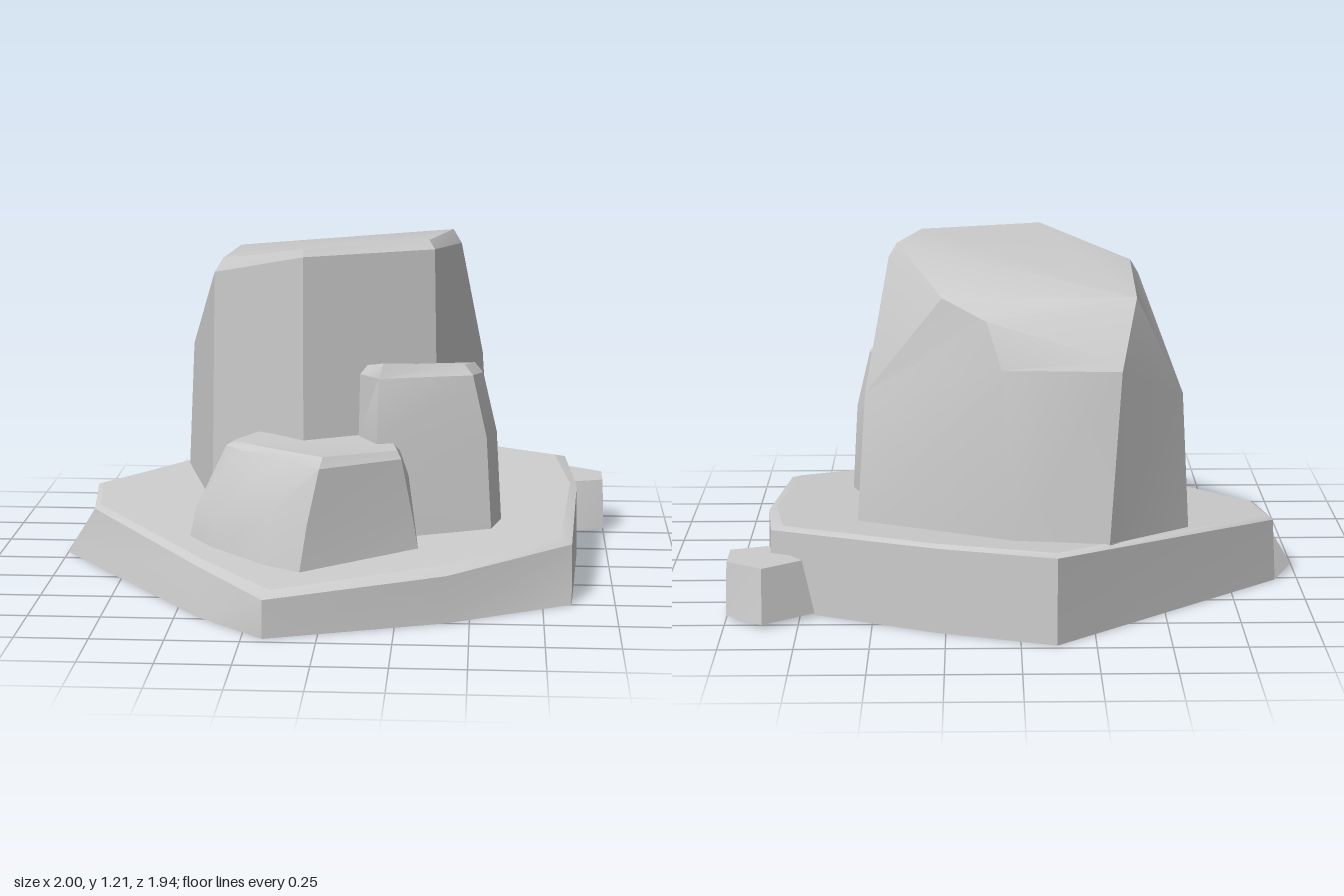
import * as THREE from 'three';
import { toCreasedNormals } from 'three/addons/utils/BufferGeometryUtils.js';

const material = new THREE.MeshStandardMaterial({ color: 0xcccccc, side: THREE.DoubleSide });

function part(name, geometry) {
  const mesh = new THREE.Mesh(geometry, material);
  mesh.name = name;
  return mesh;
}

// Skin stacked rings of [x, z, y] corners (counter-clockwise from above) into an open-bottomed shell.
function shell(name, rings, capped = true) {
  const pos = [];
  const tri = (...corners) => corners.forEach(([x, z, y]) => pos.push(x, y, z));
  const n = rings[0].length;
  for (let r = 0; r + 1 < rings.length; r++) {
    const lo = rings[r], up = rings[r + 1];
    for (let i = 0; i < n; i++) {
      const j = (i + 1) % n;
      tri(lo[i], lo[j], up[j]);
      tri(lo[i], up[j], up[i]);
    }
  }
  const top = rings[rings.length - 1];
  for (let i = 1; capped && i + 1 < n; i++) tri(top[0], top[i], top[i + 1]);
  const geo = new THREE.BufferGeometry();
  geo.setAttribute('position', new THREE.Float32BufferAttribute(pos, 3));
  return part(name, toCreasedNormals(geo, 0.45));
}

// Give a flat outline one height, or the tilt of the slab (low in front, high behind).
const level = (y, outline) => outline.map(([x, z]) => [x, z, y]);
const slabHeight = (x, z) => 0.228 - 0.085 * z + 0.02 * x;
const tilt = (drop, outline) => outline.map(([x, z]) => [x, z, slabHeight(x, z) - drop]);

// Tilted slab surface, open where the rocks stand
function slabTop(rim, opening) {
  const points = (outline) => outline.map(([x, z]) => new THREE.Vector2(x, -z));
  const shape = new THREE.Shape(points(rim));
  shape.holes.push(new THREE.Path(points(opening)));
  const geo = new THREE.ShapeGeometry(shape).rotateX(-Math.PI / 2);
  const p = geo.attributes.position;
  for (let i = 0; i < p.count; i++) p.setY(i, slabHeight(p.getX(i), p.getZ(i)));
  geo.computeVertexNormals();
  return part('slabTop', geo);
}

export function createModel() {
  const group = new THREE.Group();
  group.name = 'rockFormation';

  // Wide slab, hollow underneath, with a narrow bevel around its rim
  const rim = [[-0.86, 0.02], [-0.41, 0.61], [-0.16, 0.9], [0.4, 0.67], [0.81, 0.41],
    [0.86, -0.2], [0.81, -0.55], [0.28, -0.81], [-0.12, -0.93], [-0.89, -0.23]];
  const slab = new THREE.Group();
  slab.name = 'baseSlab';
  slab.add(
    shell('slabWall', [
      level(0, [[-1, -0.08], [-0.42, 0.73], [-0.18, 0.965], [0.42, 0.75], [0.85, 0.5],
        [0.89, -0.21], [0.86, -0.57], [0.28, -0.84], [-0.12, -0.975], [-0.92, -0.27]]),
      tilt(0.012, [[-0.88, 0.03], [-0.43, 0.64], [-0.18, 0.96], [0.42, 0.74], [0.85, 0.43],
        [0.885, -0.21], [0.85, -0.57], [0.28, -0.835], [-0.12, -0.965], [-0.91, -0.26]]),
      tilt(0, rim),
    ], false),
    slabTop(rim, [[-0.3, -0.78], [-0.59, -0.47], [-0.45, 0], [-0.3, 0.14], [-0.49, 0.36],
      [-0.4, 0.48], [-0.2, 0.66], [-0.075, 0.735], [0.32, 0.5], [0.3, 0.37], [0.57, 0.3],
      [0.605, 0.19], [0.53, -0.07], [0.48, -0.12], [0.56, -0.44], [0.02, -0.745]]),
  );
  group.add(slab);

  // Tall main rock with a sloping back shoulder
  group.add(shell('mainRock', [
    tilt(0.01, [[-0.59, -0.47], [-0.45, 0], [-0.09, 0.335], [0.38, 0.14],
      [0.48, -0.14], [0.56, -0.44], [0.02, -0.745], [-0.3, -0.78]]),
    [[-0.565, -0.45, 0.73], [-0.435, -0.01, 1.07], [-0.09, 0.325, 1.175], [0.36, 0.135, 1.18],
      [0.45, -0.18, 1.16], [0.53, -0.39, 0.72], [0.06, -0.71, 0.87], [-0.34, -0.74, 0.87]],
    [[-0.395, -0.58, 1.09], [-0.405, -0.02, 1.12], [-0.09, 0.305, 1.2], [0.34, 0.11, 1.21],
      [0.42, -0.18, 1.21], [0.26, -0.53, 1.08], [0.11, -0.64, 1.02], [-0.33, -0.72, 0.9]],
  ]));

  // Medium rock leaning on the main rock's left side
  group.add(shell('sideRock', [
    tilt(0.01, [[0.1, 0.27], [0.17, 0.41], [0.57, 0.3], [0.605, 0.19],
      [0.53, -0.07], [0.45, -0.12], [0.25, 0]]),
    level(0.54, [[0.1, 0.26], [0.17, 0.395], [0.55, 0.29], [0.585, 0.18],
      [0.525, -0.07], [0.45, -0.115], [0.25, 0]]),
    [[0.105, 0.26, 0.755], [0.175, 0.37, 0.76], [0.5, 0.285, 0.76], [0.535, 0.17, 0.75],
      [0.485, 0, 0.71], [0.42, -0.03, 0.715], [0.25, 0, 0.74]],
    [[0.13, 0.25, 0.785], [0.19, 0.345, 0.81], [0.47, 0.265, 0.795], [0.505, 0.17, 0.785],
      [0.46, 0.02, 0.745], [0.4, -0.01, 0.745], [0.25, 0, 0.765]],
  ]));

  // Low rock in front
  group.add(shell('frontRock', [
    tilt(0.01, [[-0.49, 0.36], [-0.4, 0.48], [-0.2, 0.66], [-0.075, 0.735], [0.32, 0.5],
      [0.3, 0.36], [0, 0], [-0.3, 0.13]]),
    [[-0.47, 0.35, 0.28], [-0.39, 0.465, 0.29], [-0.19, 0.62, 0.33], [-0.05, 0.715, 0.32],
      [0.3, 0.5, 0.3], [0.28, 0.37, 0.42], [0, 0, 0.42], [-0.29, 0.13, 0.3]],
    [[-0.36, 0.33, 0.51], [-0.3, 0.415, 0.51], [-0.15, 0.555, 0.52], [-0.01, 0.685, 0.51],
      [0.26, 0.515, 0.51], [0.25, 0.38, 0.51], [0, 0.02, 0.51], [-0.27, 0.13, 0.5]],
    [[-0.33, 0.31, 0.525], [-0.28, 0.4, 0.53], [-0.14, 0.54, 0.54], [0, 0.655, 0.545],
      [0.245, 0.5, 0.537], [0.23, 0.39, 0.535], [0, 0.05, 0.535], [-0.25, 0.15, 0.525]],
  ]));

  // Small loose stone beside the slab
  group.add(shell('smallStone', [
    level(0.015, [[0.7, -0.67], [0.865, -0.445], [1, -0.5], [1, -0.69], [0.87, -0.795]]),
    level(0.2, [[0.74, -0.66], [0.87, -0.49], [0.995, -0.53], [0.995, -0.67], [0.87, -0.755]]),
  ]));

  return group;
}
